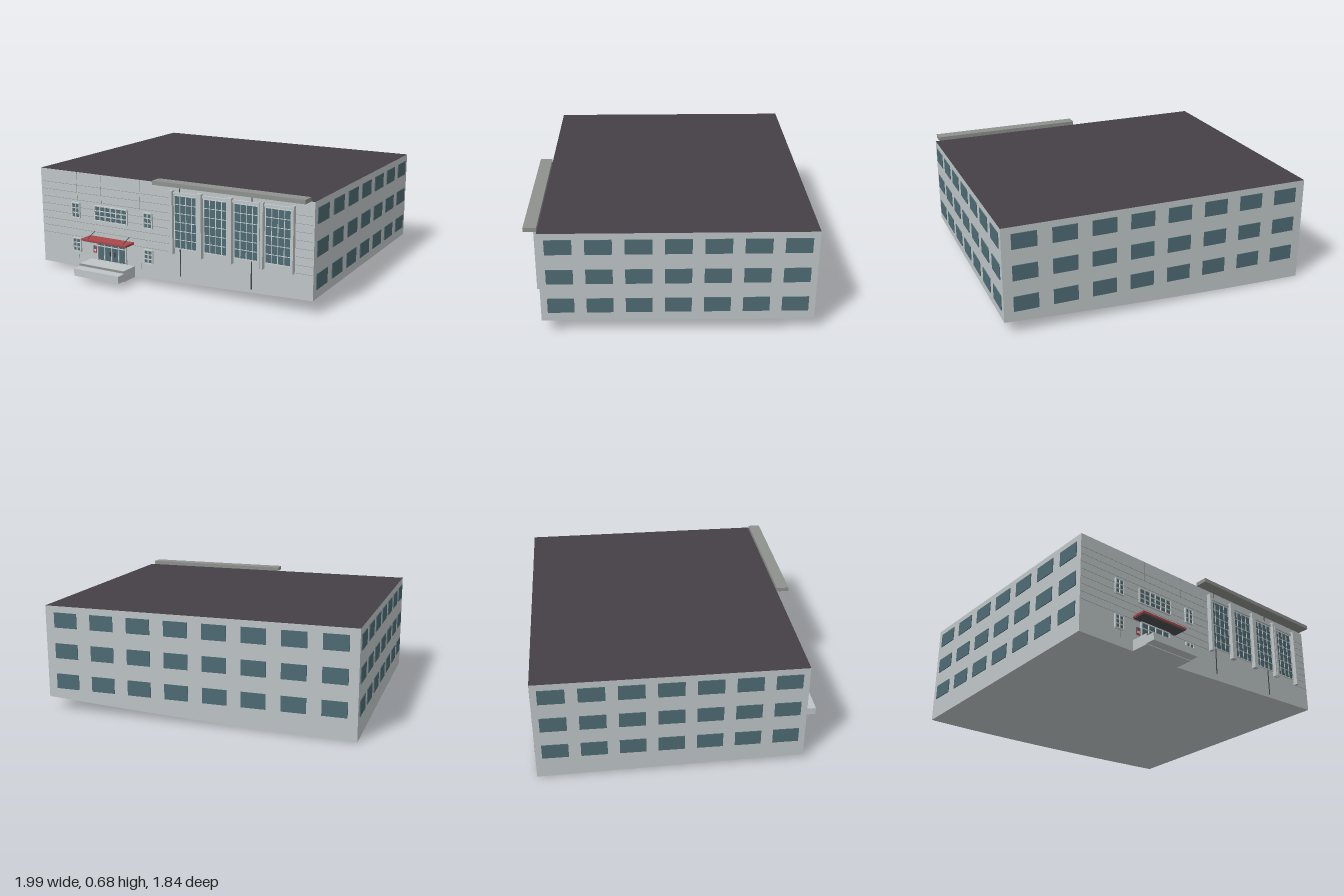
import * as THREE from 'three';

const mat = (name, color) => Object.assign(new THREE.MeshStandardMaterial({ color }), { name });

export function createModel() {
  const wall = mat('wall plaster', 0xbfc6c8);
  const roof = mat('roof felt', 0x454046);
  const glass = mat('window glass', 0x4e6b74);
  const frame = mat('window frame', 0xc9cfd0);
  const trim = mat('grey trim', 0x8e918e);
  const red = mat('red canopy', 0xab474b);
  const dark = mat('dark metal', 0x4a4e50);

  const W = 1.94, D = 1.61, TOP = 0.66;
  const model = new THREE.Group();
  model.name = 'building';
  const block = new THREE.Group();
  block.name = 'block';
  block.rotation.y = 0.029;
  block.position.set(-0.004, 0, -0.0875);
  model.add(block);

  // Box given by its limits along each axis
  const box = (parent, name, m, x0, x1, y0, y1, z0, z1) => {
    const mesh = new THREE.Mesh(new THREE.BoxGeometry(x1 - x0, y1 - y0, z1 - z0), m);
    mesh.position.set((x0 + x1) / 2, (y0 + y1) / 2, (z0 + z1) / 2);
    mesh.name = name;
    parent.add(mesh);
    return mesh;
  };

  // Main body, its underside following the sloping ground
  const bodyGeo = new THREE.BoxGeometry(W, TOP, D, 16, 1, 1);
  bodyGeo.translate(0, TOP / 2, 0);
  const p = bodyGeo.attributes.position;
  for (let i = 0; i < p.count; i++) {
    if (p.getY(i) > 0.1) continue;
    const t = Math.max(0, p.getX(i) / W + 0.5);
    p.setY(i, p.getZ(i) > 0
      ? 0.03 + 0.055 * Math.max(0, (t - 0.35) / 0.65)
      : 0.002 + 0.078 * Math.pow(t, 1.5));
  }
  bodyGeo.computeVertexNormals();
  const body = new THREE.Mesh(bodyGeo, [wall, wall, roof, wall, wall, wall]);
  body.name = 'body';
  block.add(body);

  // Three rows of plain windows on the two sides and the back
  const windowRows = (name, angle, dist, count, pitch, width) => {
    const side = new THREE.Group();
    side.name = name;
    side.rotation.y = angle;
    for (const y of [0.187, 0.38, 0.573])
      for (let i = 0; i < count; i++) {
        const x = (i - (count - 1) / 2) * pitch;
        box(side, 'sideWindow', glass, x - width / 2, x + width / 2,
          y - 0.047, y + 0.047, dist - 0.003, dist + 0.005);
      }
    block.add(side);
  };
  windowRows('leftWindows', Math.PI / 2, W / 2, 7, 0.229, 0.157);
  windowRows('rightWindows', -Math.PI / 2, W / 2, 7, 0.229, 0.157);
  windowRows('backWindows', Math.PI, D / 2, 8, 0.239, 0.15);

  // Front details, measured from the wall plane
  const front = new THREE.Group();
  front.name = 'front';
  front.position.set(-0.02, 0, D / 2);
  block.add(front);

  // Glazed opening with an outer frame and glazing bars
  const glazing = (name, x0, x1, y0, y1, cols, rows, depth = 0.012, bar = 0.005) => {
    const g = new THREE.Group();
    g.name = name;
    front.add(g);
    box(g, 'glass', glass, x0, x1, y0, y1, -0.003, 0.005);
    for (let i = 0; i <= cols; i++) {
      const x = x0 + (x1 - x0) * i / cols, w = (i % cols ? bar : bar * 1.5) / 2;
      box(g, 'upright', frame, x - w, x + w, y0, y1, 0, depth);
    }
    for (let j = 0; j <= rows; j++) {
      const y = y0 + (y1 - y0) * j / rows, h = (j % rows ? bar : bar * 1.5) / 2;
      box(g, 'crossbar', frame, x0, x1, y - h, y + h, 0, depth - 0.001);
    }
  };

  // Small windows and the wide middle window
  for (const x of [-0.67, -0.115]) {
    glazing('upperSmallWindow', x - 0.03, x + 0.03, 0.362, 0.458, 2, 3);
    glazing('lowerSmallWindow', x - 0.03, x + 0.03, 0.137, 0.223, 2, 3);
  }
  glazing('wideWindow', -0.518, -0.27, 0.362, 0.458, 6, 3);

  // Tall hall windows between pilasters
  for (const x of [0.08, 0.285, 0.488, 0.69])
    glazing('hallWindow', x, x + 0.16, 0.267, 0.594, 4, 6, 0.008, 0.004);
  for (const [x0, x1] of [[0.056, 0.077], [0.243, 0.277], [0.447, 0.48],
    [0.65, 0.663], [0.667, 0.684], [0.858, 0.875]])
    box(front, 'pilaster', wall, x0, x1, 0.23, 0.625, 0, 0.03);
  box(front, 'hallLintel', wall, 0.077, 0.858, 0.6, 0.615, 0, 0.015);

  // Cornice slab over the hall
  box(front, 'cornice', trim, -0.03, 0.965, 0.66, 0.685, -0.001, 0.076);

  // Panel seams, broken where openings interrupt them
  const seam = (x0, x1, y0, y1) => box(front, 'seam', trim, x0, x1, y0, y1, -0.002, 0.001);
  for (let i = 0; i < 8; i++) {
    const y = 0.235 + i * 0.0485;
    seam(-0.965 + 0.02, 0.05, y - 0.001, y + 0.001);
    seam(0.88, 0.985, y - 0.001, y + 0.001);
  }
  for (const x of [-0.66, -0.47, -0.175]) seam(x - 0.001, x + 0.001, 0.47, TOP - 0.002);
  for (const x of [-0.66, -0.175]) seam(x - 0.001, x + 0.001, 0.085, 0.13);
  for (const x of [0.115, 0.6]) {
    box(front, 'jointStrip', dark, x - 0.003, x + 0.003, 0.09, 0.26, -0.002, 0.003);
    box(front, 'jointStripTop', dark, x - 0.002, x + 0.002, 0.615, TOP - 0.002, -0.002, 0.003);
  }

  // Entrance doors with handles
  glazing('entrance', -0.505, -0.285, 0.1, 0.235, 4, 1);
  box(front, 'doorTransom', frame, -0.505, -0.285, 0.195, 0.2, 0, 0.011);
  for (const x of [-0.405, -0.37])
    box(front, 'doorHandle', dark, x - 0.003, x + 0.003, 0.14, 0.17, 0.005, 0.016);

  // Notice board beside the doors
  box(front, 'noticeBoard', red, -0.541, -0.511, 0.145, 0.192, 0, 0.006);
  box(front, 'noticeSheet', frame, -0.533, -0.519, 0.155, 0.169, 0.005, 0.008);
  box(front, 'noticePane', glass, -0.537, -0.515, 0.174, 0.189, 0.005, 0.008);

  // Canopy hung on two slanted rods
  box(front, 'canopy', red, -0.565, -0.225, 0.244, 0.256, 0, 0.093);
  box(front, 'canopyUnderside', dark, -0.558, -0.232, 0.239, 0.244, 0, 0.086);
  for (const x of [-0.53, -0.26]) {
    const rod = new THREE.TubeGeometry(new THREE.LineCurve3(
      new THREE.Vector3(x, 0.285, 0), new THREE.Vector3(x, 0.254, 0.075)), 1, 0.0025, 6);
    const mesh = new THREE.Mesh(rod, dark);
    mesh.name = 'canopyRod';
    front.add(mesh);
  }

  // Porch platform and its front step
  box(front, 'porchPlatform', wall, -0.565, -0.225, 0.03, 0.1, -0.01, 0.118);
  box(front, 'porchEdge', trim, -0.565, -0.225, 0.086, 0.099, 0.118, 0.121);
  box(front, 'porchStep', wall, -0.565, -0.225, 0.035, 0.082, 0.118, 0.178);

  return model;
}
